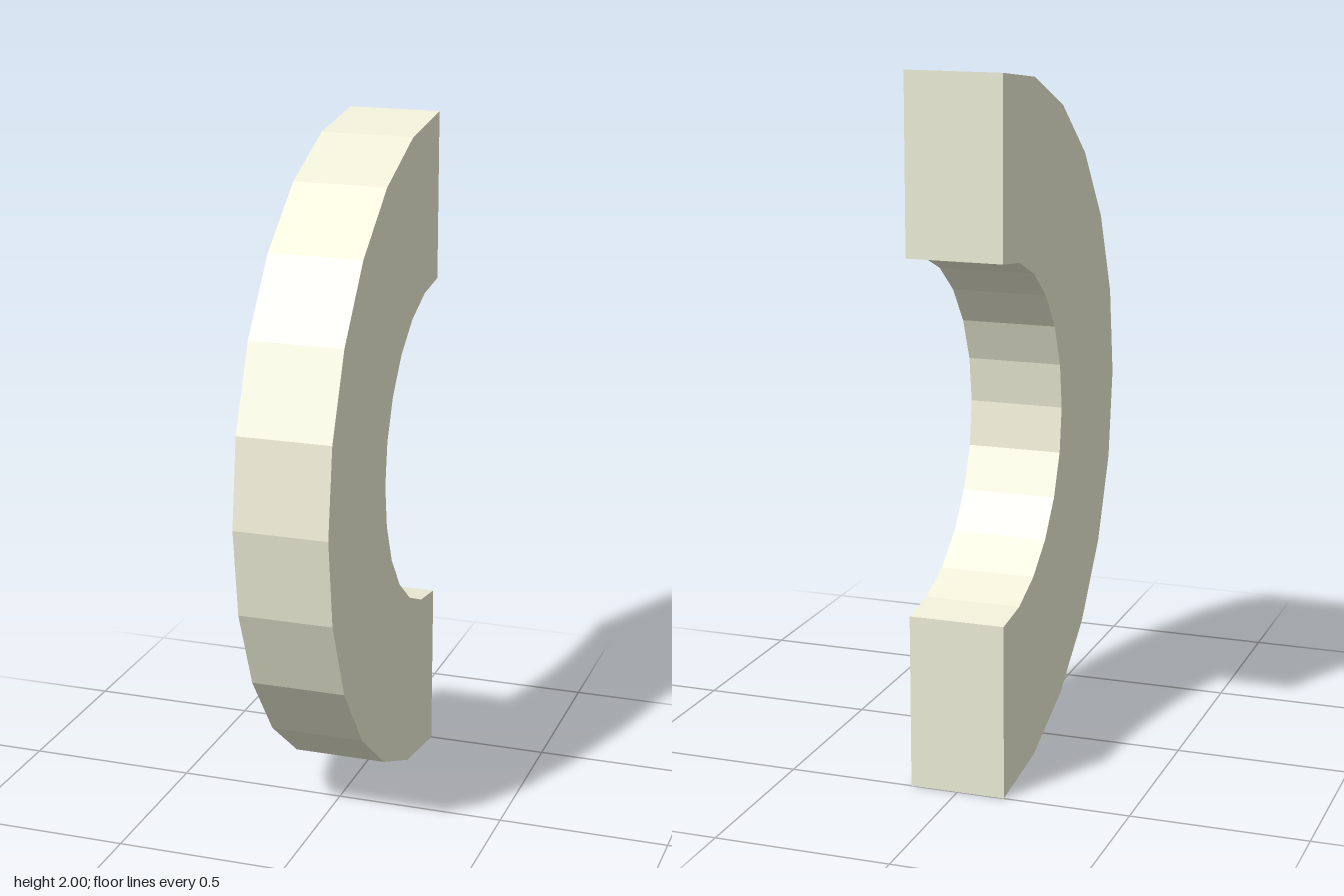
import * as THREE from 'three';

const OUTER = 1, INNER = 0.5, WIDTH = 0.275, SEGMENTS = 12;

// Points on a half circle bulging towards +x, from bottom to top
function halfCircle(radius) {
  const points = [];
  for (let i = 0; i <= SEGMENTS; i++) {
    const a = -Math.PI / 2 + (i / SEGMENTS) * Math.PI;
    points.push(new THREE.Vector2(radius * Math.cos(a), radius * Math.sin(a)));
  }
  return points;
}

export function createModel() {
  const group = new THREE.Group();
  group.name = 'halfRing';

  // Faceted half ring: outer arc up, inner arc back down, flat ends at the back
  const outline = new THREE.Shape([...halfCircle(OUTER), ...halfCircle(INNER).reverse()]);
  const geometry = new THREE.ExtrudeGeometry(outline, { depth: WIDTH, bevelEnabled: false });
  geometry.translate(0, 0, -WIDTH / 2);
  geometry.rotateY(-Math.PI / 2); // bulge faces the front
  geometry.translate(0, OUTER, -OUTER / 2);

  const material = new THREE.MeshStandardMaterial({ color: 0xeeeed8, flatShading: true });
  const arch = new THREE.Mesh(geometry, material);
  arch.name = 'halfRingArch';
  group.add(arch);
  return group;
}
